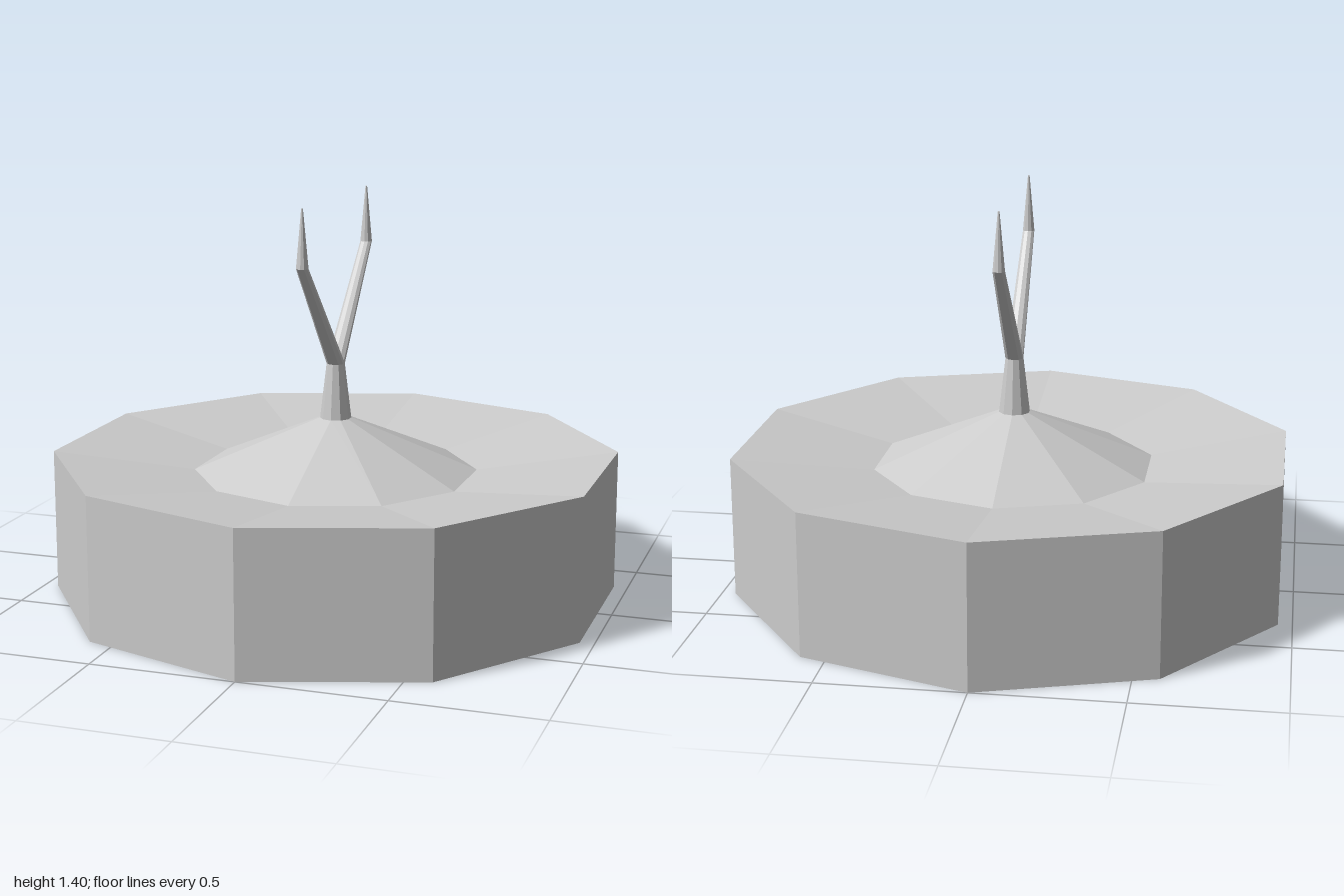
import * as THREE from 'three';

const SIDES = 10;

export function createModel() {
  const model = new THREE.Group();
  const grey = new THREE.MeshStandardMaterial({ color: 0xcccccc, flatShading: true });
  grey.name = 'stone grey';

  const add = (name, geometry, parent = model) => {
    const mesh = new THREE.Mesh(geometry, grey);
    mesh.name = name;
    parent.add(mesh);
    return mesh;
  };

  // Ten-sided body revolved from (radius, height) pairs
  const lathe = (profile) =>
    new THREE.LatheGeometry(profile.map(([r, y]) => new THREE.Vector2(r, y)), SIDES);

  // Tapered tube with level ends, sheared along z from z0 to z1
  const shearedTube = (r0, y0, z0, r1, y1, z1) => {
    const h = y1 - y0;
    const geometry = new THREE.CylinderGeometry(r1, r0, h, SIDES);
    geometry.translate(0, h / 2, 0);
    const p = geometry.attributes.position;
    for (let i = 0; i < p.count; i++) {
      p.setZ(i, p.getZ(i) + z0 + (z1 - z0) * (p.getY(i) / h));
    }
    geometry.translate(0, y0, 0);
    geometry.computeVertexNormals();
    return geometry;
  };

  // Drum base with a dished top
  add('base', lathe([[0, 0], [1, 0], [1, 0.5], [0.5, 0.435]]));

  // Low cone rising from the dish
  add('mound', lathe([[0.5, 0.435], [0.055, 0.625]]));

  // Tapered post
  add('post', lathe([[0.055, 0.625], [0.032, 0.82], [0, 0.82]]));

  // Two forked arms, each ending in an upright point
  for (const side of [1, -1]) {
    const prong = new THREE.Group();
    prong.name = side > 0 ? 'frontProng' : 'backProng';
    add('arm', shearedTube(0.032, 0.82, 0, 0.021, 1.205, 0.35 * side), prong);
    add('tip', shearedTube(0.021, 1.205, 0.35 * side, 0.003, 1.405, 0.35 * side), prong);
    model.add(prong);
  }

  return model;
}
